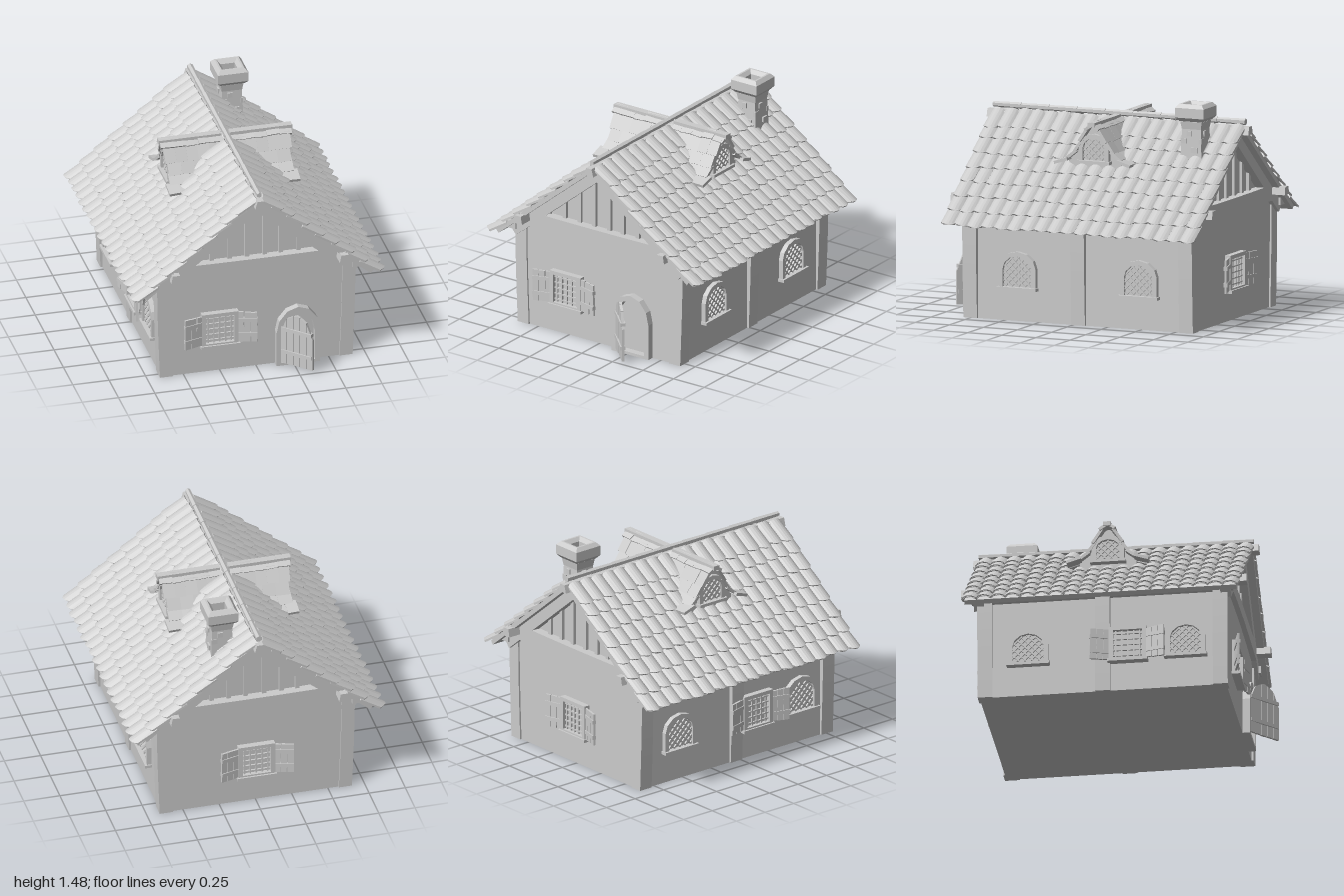
import * as THREE from 'three';
import { mergeGeometries } from 'three/addons/utils/BufferGeometryUtils.js';

const mat = new THREE.MeshStandardMaterial({ color: 0xcccccc, flatShading: true, side: THREE.DoubleSide });
const PITCH = 0.688, APEX = 1.31, HALF = 0.925; // roof angle, slab peak, half length
const TAN = Math.tan(PITCH);
let seed = 7;
const jitter = (a) => ((seed = (seed * 16807) % 2147483647) / 2147483647 - 0.5) * 2 * a;

function add(parent, name, geo, x = 0, y = 0, z = 0) {
  const m = new THREE.Mesh(geo, mat);
  m.name = name;
  m.position.set(x, y, z);
  parent.add(m);
  return m;
}
const box = (parent, name, w, h, d, x, y, z) => add(parent, name, new THREE.BoxGeometry(w, h, d), x, y, z);
function group(parent, name, x = 0, y = 0, z = 0, ry = 0) {
  const g = new THREE.Group();
  g.name = name;
  g.position.set(x, y, z);
  g.rotation.y = ry;
  parent.add(g);
  return g;
}
const shapeOf = (pts) => new THREE.Shape(pts.map(([x, y]) => new THREE.Vector2(x, y)));
const extrude = (shape, depth) => new THREE.ExtrudeGeometry(shape, { depth, bevelEnabled: false });

// Pointed arch, described by half-width and height fractions
const ARCH = [[1, 0], [1, 0.58], [0.87, 0.78], [0.5, 0.94], [0, 1]];
const archPoints = (w, h, y0 = 0) => [
  ...ARCH.map(([x, y]) => [x * w / 2, y0 + y * h]),
  ...ARCH.slice(0, -1).reverse().map(([x, y]) => [-x * w / 2, y0 + y * h]),
];
function archTop(x, w, h) {
  const f = Math.min(1, Math.abs(x) / (w / 2));
  for (let i = 1; i < ARCH.length - 1; i++) {
    const [a, ya] = ARCH[i], [b, yb] = ARCH[i + 1];
    if (f <= a && f >= b) return h * (ya + (yb - ya) * (a - f) / (a - b));
  }
  return h;
}
function archFrame(parent, w, h, t, depth, sill) {
  const s = shapeOf(archPoints(w, h));
  s.holes.push(shapeOf(archPoints(w - 2 * t, h - t - sill, sill)));
  add(parent, 'archFrame', extrude(s, depth));
}

// Arched window with diagonal lattice
function archWindow(parent, w, h, x, y, z, ry) {
  const g = group(parent, 'archedWindow', x, y, z, ry);
  archFrame(g, w, h, 0.03, 0.035, 0.02);
  add(g, 'glass', extrude(shapeOf(archPoints(w - 0.04, h - 0.02)), 0.01));
  box(g, 'sill', w + 0.02, 0.02, 0.05, 0, 0.01, 0.025);
  const iw = w - 0.05, ih = h - 0.03;
  for (const s of [-1, 1]) for (let c = -0.4; c <= 0.2; c += 0.047) {
    const inside = [];
    for (let t = 0.01; t < h; t += 0.004) {
      const px = c + t;
      if (Math.abs(px) < iw / 2 && t < archTop(px, iw, ih)) inside.push(t);
    }
    if (inside.length < 4) continue;
    const a = inside[0], b = inside[inside.length - 1], m = (a + b) / 2;
    box(g, 'latticeBar', (b - a) * Math.SQRT2, 0.009, 0.012, s * (c + m), m, 0.016).rotation.z = s * Math.PI / 4;
  }
}

// Square window with a grid of bars and two open shutters
function shutterWindow(parent, x, y, z, ry) {
  const g = group(parent, 'shutterWindow', x, y, z, ry);
  box(g, 'glass', 0.22, 0.22, 0.015, 0, 0.125, 0.005);
  for (const s of [-1, 1]) {
    box(g, 'frameSide', 0.028, 0.25, 0.045, s * 0.112, 0.125, 0.02);
    box(g, 'frameRail', 0.25, 0.026, 0.045, 0, 0.125 + s * 0.112, 0.02);
    const leaf = group(g, 'shutter', s * 0.12, 0.015, 0.025, -s * 0.27);
    for (let i = 0; i < 3; i++)
      box(leaf, 'shutterPlank', 0.042, 0.22 + jitter(0.008), 0.014, s * (0.023 + i * 0.045), 0.11, 0).rotation.z = jitter(0.03);
    for (const by of [0.055, 0.165]) box(leaf, 'shutterBatten', 0.135, 0.026, 0.026, s * 0.068, by, 0);
  }
  box(g, 'sill', 0.27, 0.02, 0.06, 0, 0.005, 0.025);
  for (let i = -2; i <= 2; i++) {
    box(g, 'bar', 0.009, 0.21, 0.014, i * 0.04, 0.125, 0.018);
    box(g, 'bar', 0.21, 0.009, 0.014, 0, 0.125 + i * 0.04, 0.018);
  }
}

// Curved roof tile running downhill along +x
function tileGeometry(w, len) {
  const outer = [], inner = [], n = 6;
  for (let i = 0; i <= n; i++) {
    const u = -1 + 2 * i / n, y = 0.028 * (1 - u * u);
    outer.push([u * w / 2, y]);
    inner.unshift([u * w / 2, y - 0.014]);
  }
  const geo = extrude(shapeOf([...outer, ...inner]), len).rotateY(Math.PI / 2);
  const p = geo.attributes.position;
  for (let i = 0; i < p.count; i++) {
    const px = p.getX(i), u = p.getZ(i) / (w / 2);
    if (px > len / 2) p.setX(i, px + 0.032 * (1 - u * u));
    p.setY(i, p.getY(i) + 0.022 * px / len);
  }
  return geo;
}

function buildRoofSide(parent, ry) {
  const side = group(parent, 'roofSide', 0, 0, 0, ry);
  const slope = group(side, 'roofSlope', 0, APEX);
  slope.rotation.z = -PITCH;
  box(slope, 'roofBoards', 1.02, 0.03, HALF * 2 - 0.02, 0.51, -0.015, 0);
  for (const s of [-1, 1]) box(slope, 'rafter', 0.96, 0.075, 0.07, 0.46, -0.065, s * 0.83);
  const cols = 19, rows = 8, step = 0.131, pitch = 2 * HALF / cols, tiles = [];
  const base = tileGeometry(pitch * 1.08, step + 0.03);
  for (let r = 0; r < rows; r++) for (let c = 0; c < cols; c++) {
    const t = base.clone().rotateX(jitter(0.09));
    tiles.push(t.translate(0.012 + r * step - 0.028 * (r > 0) + jitter(0.007), 0.004, -HALF + pitch * (c + 0.5)));
  }
  add(slope, 'roofTiles', mergeGeometries(tiles));

  // Dormer with flared shingle roof
  const dormer = group(side, 'dormer');
  const bell = [[0, 1.325], [0.045, 1.29], [0.09, 1.21], [0.135, 1.135], [0.19, 1.085], [0.265, 1.055]];
  const reach = [0.45, 0.435, 0.42, 0.425, 0.45];
  const outline = [...bell.slice(0, 5), [0.19, 1.03], [-0.19, 1.03], ...bell.slice(1, 5).map(([z, y]) => [-z, y]).reverse()];
  add(dormer, 'dormerWall', extrude(shapeOf(outline), 0.2).rotateY(Math.PI / 2), 0.185, -0.01, 0);
  archWindow(dormer, 0.22, 0.2, 0.382, 1.055, 0, Math.PI / 2);
  for (const s of [-1, 1]) reach.forEach((front, i) => {
    const [z0, y0] = bell[i], [z1, y1] = bell[i + 1];
    const start = Math.max(0.02, (1.33 - y0) / TAN), n = Math.max(2, Math.round((front - start) / 0.08));
    const w = (front - start) / n;
    for (let k = 0; k < n; k++) {
      const m = box(dormer, 'dormerShingle', w * 1.03, 0.02, Math.hypot(z1 - z0, y1 - y0) * 1.25,
        start + (k + 0.5) * w, (y0 + y1) / 2 + jitter(0.004), s * (z0 + z1) / 2);
      m.rotation.set(s * (Math.atan2(y0 - y1, z1 - z0) - 0.08), jitter(0.06), jitter(0.04));
    }
  });
  box(dormer, 'dormerRidge', 0.43, 0.03, 0.05, 0.245, 1.322, 0);
}

function buildChimney(parent) {
  const g = group(parent, 'chimney', 0.2, 0, -0.65);
  const square = (top, bottom, h) => new THREE.CylinderGeometry(top * Math.SQRT2, bottom * Math.SQRT2, h, 4).rotateY(Math.PI / 4);
  add(g, 'chimneyShaft', square(0.066, 0.082, 0.38), 0, 1.18, 0);
  add(g, 'chimneyCollar', square(0.078, 0.07, 0.05), 0, 1.335, 0);
  const sq = (a) => [[-a, -a], [a, -a], [a, a], [-a, a]];
  const cap = shapeOf(sq(0.083));
  cap.holes.push(shapeOf(sq(0.07)));
  const geo = new THREE.ExtrudeGeometry(cap, { depth: 0.066, bevelSize: 0.022, bevelThickness: 0.025, bevelSegments: 1 });
  add(g, 'chimneyCap', geo.rotateX(-Math.PI / 2), 0, 1.388, 0);
  for (let i = 0; i < 4; i++) {
    const f = group(g, 'chimneyBricks', 0, 0, 0, i * Math.PI / 2);
    box(f, 'brick', 0.045, 0.035, 0.02, 0.025, 1.17, 0.076);
    box(f, 'brick', 0.035, 0.035, 0.02, -0.015, 1.28, 0.07);
    box(f, 'brick', 0.04, 0.035, 0.02, -0.055, 1.23, 0.066);
  }
}

function buildDoor(parent) {
  const g = group(parent, 'door', 0.28, 0, 0.83);
  archFrame(g, 0.3, 0.43, 0.035, 0.05, 0.02);
  const w = 0.25, h = 0.38, n = 5;
  const leaf = group(g, 'doorLeaf', -0.11, 0.025, 0.03, -Math.PI / 4);
  for (let i = 0; i < n; i++) {
    const a = -w / 2 + i * w / n + 0.002, b = a + w / n - 0.004;
    const pts = [[a, 0], [b, 0], [b, archTop(b, w, h)], [a, archTop(a, w, h)]];
    if (i === 2) pts.splice(3, 0, [0, h]);
    add(leaf, 'doorPlank', extrude(shapeOf(pts), 0.018), w / 2, 0, jitter(0.003));
  }
  for (const y of [0.09, 0.26]) box(leaf, 'doorBatten', w - 0.02, 0.025, 0.034, w / 2, y, 0.009);
}

export function createModel() {
  const root = new THREE.Group();
  root.name = 'cottage';
  const house = group(root, 'house', 0, 0, -0.04);

  // Walls and gables
  box(house, 'walls', 1.3, 0.76, 1.66, 0, 0.38, 0);
  const eave = APEX - 0.035 - 0.65 * TAN;
  add(house, 'gableCore', extrude(shapeOf([[-0.65, 0.5], [0.65, 0.5], [0.65, eave], [0, APEX - 0.035], [-0.65, eave]]), 1.6), 0, 0, -0.8);

  // Corner and middle posts leaning outwards at the top
  for (const sx of [-1, 1]) for (const sz of [-1, 0, 1]) {
    const geo = new THREE.BoxGeometry(sz ? 0.09 : 0.05, 0.74, 0.1, 1, 6, 1);
    const p = geo.attributes.position;
    for (let i = 0; i < p.count; i++) p.setX(i, p.getX(i) + sx * 0.02 * Math.sin((p.getY(i) / 0.74 + 0.5) * Math.PI / 2));
    add(house, 'post', geo, sx * (sz ? 0.618 : 0.638), 0.37, sz * 0.792);
  }

  // Gable timbering
  for (const s of [-1, 1]) {
    const beam = new THREE.BoxGeometry(1.26, 0.085, 0.08, 12, 1, 1);
    const p = beam.attributes.position;
    for (let i = 0; i < p.count; i++) p.setY(i, p.getY(i) + 0.025 * (p.getX(i) / 0.63) ** 2 * (p.getY(i) < 0 ? -1 : 0.2));
    add(house, 'tieBeam', beam, 0, 0.785, s * 0.825);
    for (const x of [-0.43, -0.3, -0.18, -0.06, 0.06, 0.18, 0.3, 0.43]) {
      const top = APEX - 0.08 - Math.abs(x) * TAN;
      box(house, 'gableStud', 0.03, top - 0.8, 0.04, x + jitter(0.008), (top + 0.8) / 2, s * 0.8);
    }
  }

  // Long beams carrying the roof
  for (const s of [-1, 1]) {
    const tapered = extrude(shapeOf([[-0.035, -0.028], [0.035, -0.028], [0.025, 0.028], [-0.025, 0.028]]), 1.92);
    add(house, 'purlin', tapered, s * 0.58, 0.795, -0.96);
    box(house, 'eavesPlate', 0.07, 0.05, 1.76, s * 0.69, 0.705, 0);
  }
  add(house, 'ridgeBeam', extrude(shapeOf([[-0.037, -0.03], [0.037, -0.03], [0.022, 0.025], [-0.022, 0.025]]), 1.92), 0, 1.285, -0.96);

  // Roof
  for (const ry of [0, Math.PI]) buildRoofSide(house, ry);
  const capLen = 2 * HALF / 9;
  for (let i = 0; i < 9; i++) {
    const cap = new THREE.CylinderGeometry(0.018, 0.022, capLen, 6).rotateX(Math.PI / 2);
    add(house, 'ridgeCap', cap, 0, 1.34, -HALF + (i + 0.5) * capLen);
  }
  buildChimney(house);

  // Openings
  buildDoor(house);
  shutterWindow(house, -0.255, 0.2, 0.83, 0);
  shutterWindow(house, 0, 0.2, -0.83, Math.PI);
  shutterWindow(house, -0.65, 0.2, 0.17, -Math.PI / 2);
  for (const z of [0.44, -0.45]) archWindow(house, 0.27, 0.26, 0.648, 0.21, z, Math.PI / 2);
  for (const z of [0.56, -0.5]) archWindow(house, 0.27, 0.26, -0.648, 0.21, z, -Math.PI / 2);
  return root;
}
